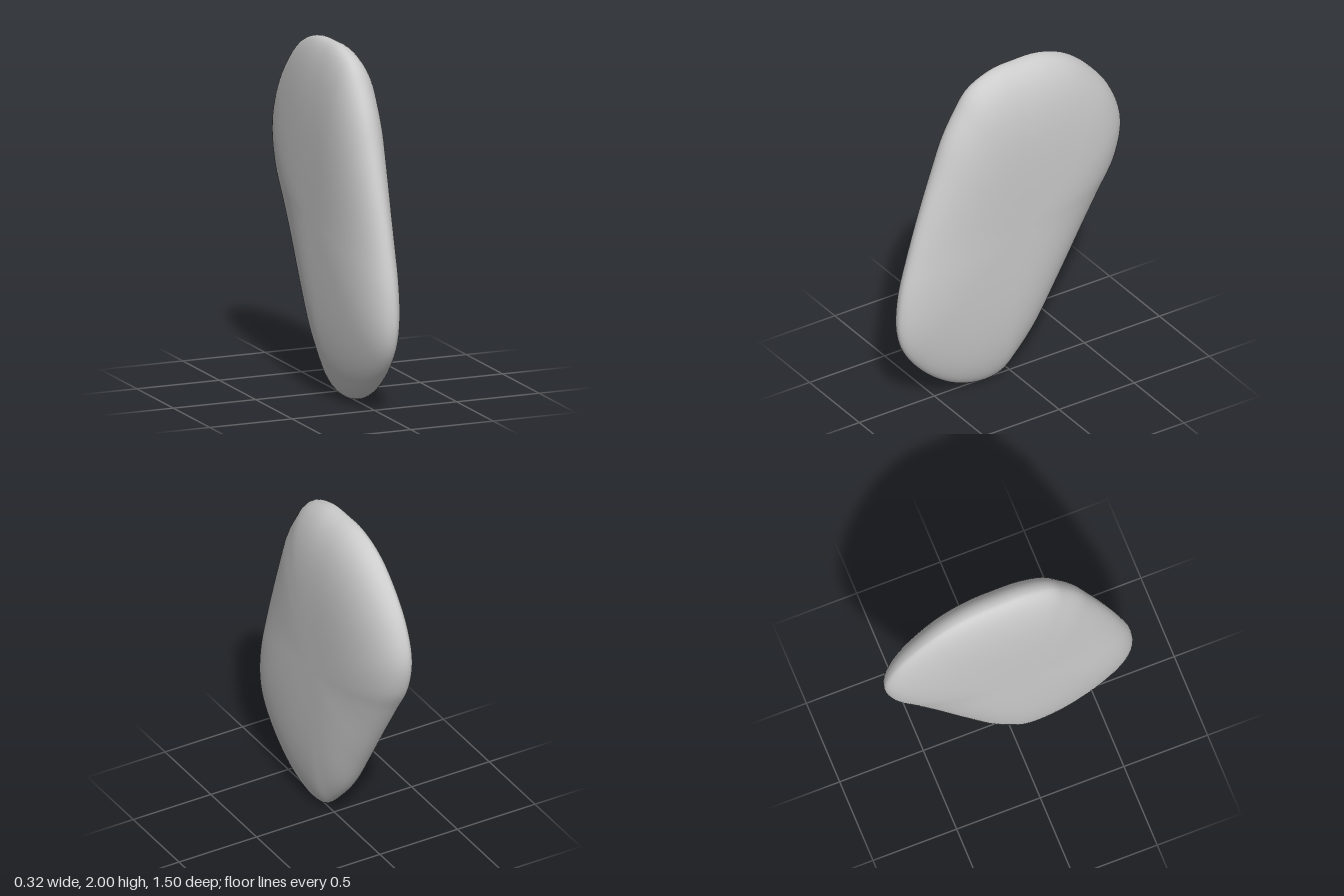
import * as THREE from 'three';

// Outline of the flat stone seen from the side, as [z, y], counterclockwise seen from +x
const OUTLINE = [
  [-0.05, 2], [0.1, 1.99], [0.26, 1.92], [0.35, 1.8], [0.43, 1.66], [0.5, 1.48],
  [0.6, 1.2], [0.68, 0.94], [0.74, 0.7], [0.75, 0.5], [0.715, 0.37], [0.62, 0.235],
  [0.48, 0.11], [0.33, 0.03], [0.18, 0], [0.07, 0.02], [-0.02, 0.1], [-0.14, 0.24],
  [-0.3, 0.5], [-0.45, 0.75], [-0.6, 1], [-0.71, 1.19], [-0.75, 1.4], [-0.69, 1.6],
  [-0.57, 1.77], [-0.4, 1.92], [-0.22, 1.99],
];
const AROUND = 128;
const ACROSS = 48;

// Point on the surface: rim point (z, y) and angle t from the +x face (0) to the -x face (PI)
function surfacePoint(rim, t) {
  const s = Math.sin(t);
  const dz = rim.z, dy = rim.y - 1;
  const z = dz * s, y = dy * s;
  // Ends stay flat for longer than the sides before rounding off
  const power = 2.7 + 1.3 * (dy * dy) / (dy * dy + dz * dz);
  const dome = Math.sqrt(Math.max(0, 1 - s ** power));
  // The rim line and both faces lean slightly
  const seam = -0.015 + 0.03 * z - 0.01 * y;
  const face = t < Math.PI / 2 ? 0.15 + 0.03 * y : -0.162 + 0.012 * y;
  return [seam + (face - seam) * dome, 1 + y, z];
}

function stoneGeometry() {
  const curve = new THREE.CatmullRomCurve3(
    OUTLINE.map(([z, y]) => new THREE.Vector3(0, y, z)), true, 'centripetal');
  const rim = curve.getSpacedPoints(AROUND).slice(0, AROUND);
  const positions = [], index = [];
  for (let i = 0; i <= ACROSS; i++) {
    for (const p of rim) positions.push(...surfacePoint(p, Math.PI * i / ACROSS));
  }
  for (let i = 0; i < ACROSS; i++) {
    for (let j = 0; j < AROUND; j++) {
      const k = (j + 1) % AROUND;
      const a = i * AROUND + j, d = i * AROUND + k;
      const b = a + AROUND, c = d + AROUND;
      if (i < ACROSS - 1) index.push(a, b, c);
      else index.push(a, b, d);
      if (i > 0 && i < ACROSS - 1) index.push(a, c, d);
    }
  }
  const geometry = new THREE.BufferGeometry();
  geometry.setAttribute('position', new THREE.Float32BufferAttribute(positions, 3));
  geometry.setIndex(index);
  geometry.computeVertexNormals();
  return geometry;
}

export function createModel() {
  const group = new THREE.Group();
  group.name = 'flatStone';
  const stone = new THREE.Mesh(stoneGeometry(), new THREE.MeshStandardMaterial({ color: 0xcccccc }));
  stone.name = 'stoneBody';
  group.add(stone);
  return group;
}
